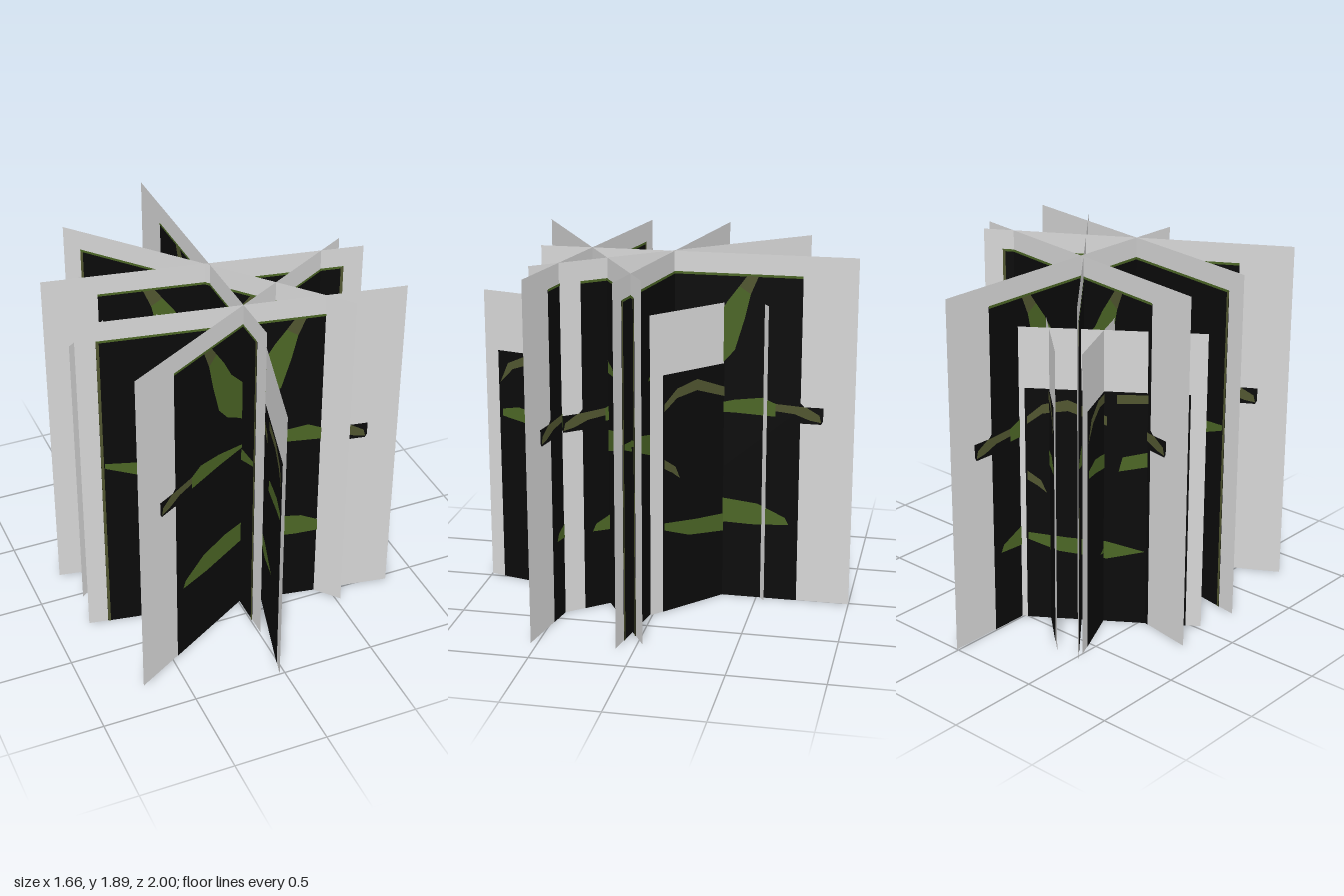
import * as THREE from 'three';

const mat = (name, color) => {
  const m = new THREE.MeshStandardMaterial({ color, side: THREE.DoubleSide });
  m.name = name;
  return m;
};

const shapeOf = (points) => new THREE.Shape(points.map(([x, y]) => new THREE.Vector2(x, y)));

// leaves of the tall plant card: [material key, outline]
const tallLeaves = [
  ['leafGreen', [[0, 1.22], [0.06, 1.26], [0.13, 1.3], [0.2, 1.38], [0.25, 1.55], [0.28, 1.68],
    [0.22, 1.72], [0.16, 1.64], [0.1, 1.54], [0, 1.44]]],
  ['leafOlive', [[0.28, 1.68], [0.32, 1.775], [0.26, 1.775], [0.22, 1.72]]],
  ['leafGreen', [[0, 1.04], [0.2, 1.04], [0.42, 1.03], [0.42, 1.1], [0.35, 1.13], [0.2, 1.11], [0, 1.06]]],
  ['leafOlive', [[0.42, 1.06], [0.52, 1.05], [0.6, 1.02], [0.66, 1.01], [0.65, 1.05], [0.58, 1.09], [0.42, 1.1]]],
  ['leafGreen', [[0, 0.43], [0.3, 0.42], [0.5, 0.43], [0.48, 0.47], [0.33, 0.54], [0.15, 0.56], [0, 0.55]]],
  ['leafGreen', [[-0.24, 0.85], [-0.4, 0.9], [-0.58, 0.97], [-0.71, 1.02], [-0.71, 1.05], [-0.5, 1.03], [-0.24, 0.97]]],
  ['leafGreen', [[-0.1, 1.28], [-0.4, 1.29], [-0.35, 1.33], [-0.24, 1.36], [-0.1, 1.34]]],
  ['leafOlive', [[-0.73, 0], [-0.715, 0], [-0.715, 1.78], [-0.73, 1.78]]],
  ['leafGreen', [[-0.73, 1.772], [0.55, 1.772], [0.55, 1.785], [-0.73, 1.785]]],
];

// leaves of the short plant card
const shortLeaves = [
  ['leafOlive', [[0.41, 1.13], [0.33, 1.21], [0.22, 1.25], [0.05, 1.24], [0.05, 1.29], [0.24, 1.295], [0.36, 1.24]]],
  ['leafGreen', [[0.4, 0.94], [0.28, 0.92], [0.2, 0.9], [0.06, 0.87], [0.08, 0.95], [0.2, 0.98], [0.3, 1.0], [0.4, 0.98]]],
  ['leafOlive', [[-0.41, 1.11], [-0.33, 1.17], [-0.2, 1.19], [0, 1.12], [0, 1.17], [-0.2, 1.25], [-0.33, 1.22], [-0.41, 1.15]]],
  ['leafOlive', [[-0.41, 0.85], [-0.34, 0.8], [-0.31, 0.73], [-0.36, 0.77], [-0.41, 0.8]]],
  ['leafGreen', [[-0.41, 0.46], [-0.25, 0.4], [0, 0.37], [0.2, 0.42], [0, 0.47], [-0.2, 0.48], [-0.41, 0.5]]],
];

const tall = {
  half: 0.833, height: 1.89, leaves: tallLeaves,
  block: [[-0.73, 0], [0.55, 0], [0.55, 1], [0.66, 1], [0.67, 1.02], [0.67, 1.09], [0.57, 1.09], [0.55, 1.11],
    [0.55, 1.78], [-0.73, 1.78]],
};
const short = {
  half: 0.5, height: 1.63, leaves: shortLeaves,
  block: [[-0.42, 0], [0.42, 0], [0.42, 1.305], [-0.42, 1.305]],
};

// card kind, centre x, centre z, heading in degrees from +x towards +z
const cards = [
  ['tall', 0.01, 0.39, 150],
  ['tall', 0.01, 0.39, 10],
  ['tall', -0.01, -0.05, 190],
  ['tall', -0.01, -0.05, 50],
  ['tall', 0.01, -0.167, 270],
  ['short', 0.1, 0.517, 105],
  ['short', -0.005, -0.325, 222],
  ['short', -0.36, -0.26, 145],
  ['short', -0.29, -0.15, 245],
];

export function createModel() {
  const mats = {
    border: mat('pale grey border', 0xd6d6d6),
    backing: mat('black backing', 0x0a0a0a),
    leafGreen: mat('leaf green', 0x4b6525),
    leafOlive: mat('leaf olive', 0x50552f),
  };

  // one upright card: pale sheet, dark field and leaves on both faces
  const makeCard = (kind, name) => {
    const card = new THREE.Group();
    card.name = name;
    const add = (geometry, material, z, part) => {
      const mesh = new THREE.Mesh(geometry, material);
      mesh.position.z = z;
      mesh.name = part;
      card.add(mesh);
    };
    const { half, height } = kind;
    const sheet = [[-half, 0], [half, 0], [half, height], [-half, height]];
    add(new THREE.ShapeGeometry(shapeOf(sheet)), mats.border, 0, 'sheet');
    const field = new THREE.ShapeGeometry(shapeOf(kind.block));
    const leafGeos = kind.leaves.map(([key, pts]) => [key, new THREE.ShapeGeometry(shapeOf(pts))]);
    for (const side of [1, -1]) {
      add(field, mats.backing, side * 0.002, 'darkField');
      for (const [key, geo] of leafGeos) add(geo, mats[key], side * 0.004, 'leaf');
    }
    return card;
  };

  const model = new THREE.Group();
  model.name = 'crossedPlantCards';
  for (const [type, x, z, heading] of cards) {
    const card = makeCard(type === 'tall' ? tall : short, type + 'PlantCard');
    card.position.set(x, 0, z);
    card.rotation.y = -THREE.MathUtils.degToRad(heading);
    model.add(card);
  }
  return model;
}
